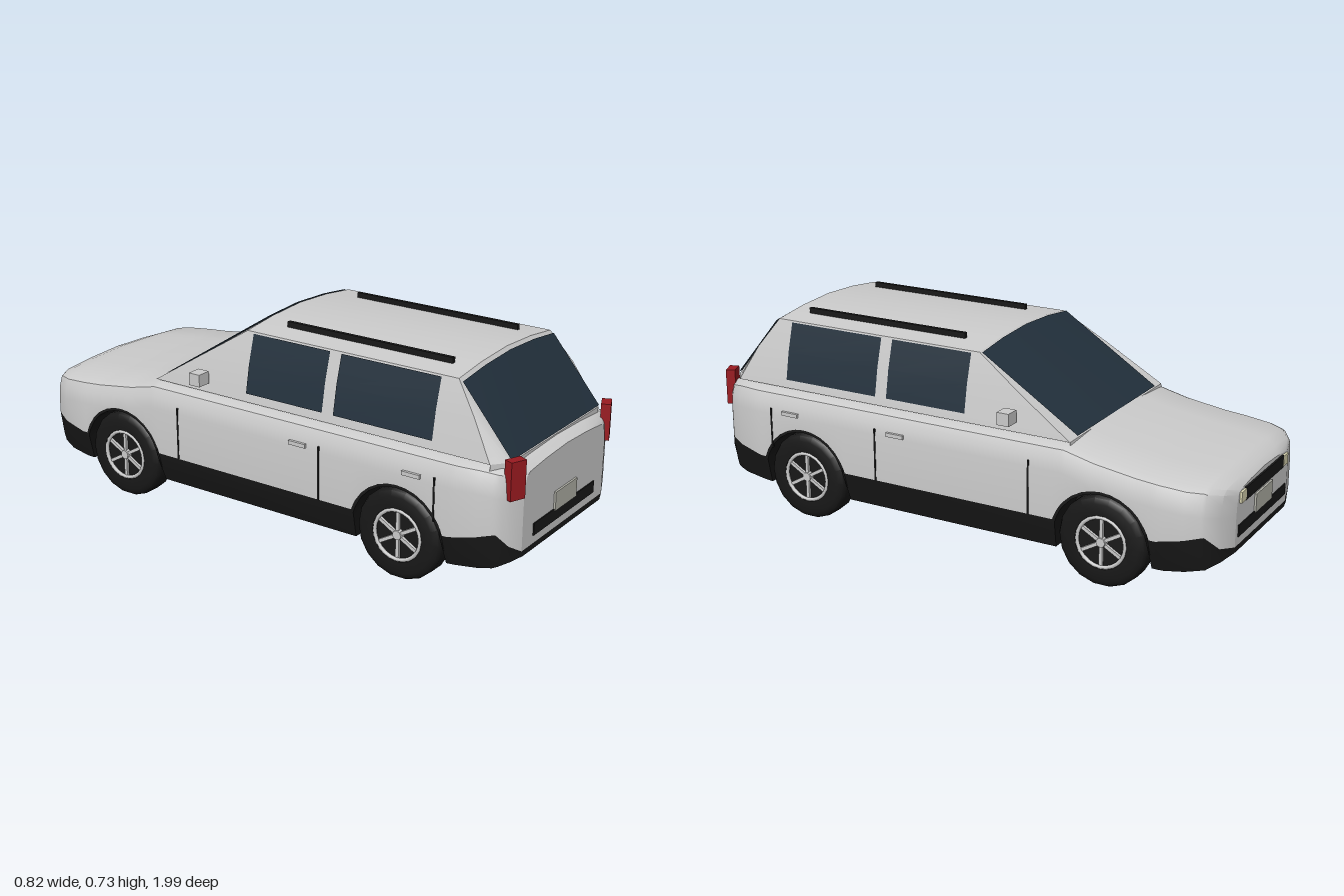
import * as THREE from 'three';
import { toCreasedNormals } from 'three/addons/utils/BufferGeometryUtils.js';

const mat = (color, side = THREE.FrontSide) => new THREE.MeshStandardMaterial({ color, side });
const grey = mat(0xcccccc);
const black = mat(0x181818);
const glass = mat(0x22303c, THREE.DoubleSide);
const red = mat(0x991a20);
const plateGrey = mat(0xb4b4aa);
const lampCream = mat(0xd8d4b0);

// Piecewise linear lookup in [[t, value], ...]
function at(t, table) {
  if (t <= table[0][0]) return table[0][1];
  for (let i = 1; i < table.length; i++) {
    const [t0, v0] = table[i - 1], [t1, v1] = table[i];
    if (t <= t1) return v0 + (v1 - v0) * (t - t0) / (t1 - t0);
  }
  return table[table.length - 1][1];
}

// Skin over rows of [x, y, z] points
function loft(rows, crease = 0.6) {
  const pos = [];
  for (let i = 0; i < rows.length - 1; i++) {
    for (let j = 0; j < rows[i].length - 1; j++) {
      const a = rows[i][j], b = rows[i][j + 1], c = rows[i + 1][j + 1], d = rows[i + 1][j];
      pos.push(...a, ...b, ...c, ...a, ...c, ...d);
    }
  }
  const g = new THREE.BufferGeometry();
  g.setAttribute('position', new THREE.Float32BufferAttribute(pos, 3));
  g.computeVertexNormals();
  return toCreasedNormals(g, crease);
}

const mirror = (pts) => pts.map(([x, y, z]) => [-x, y, z]);

function add(parent, name, geometry, material, x = 0, y = 0, z = 0) {
  const m = new THREE.Mesh(geometry, material);
  m.name = name;
  m.position.set(x, y, z);
  parent.add(m);
  return m;
}
const box = (parent, name, material, size, p) => add(parent, name, new THREE.BoxGeometry(...size), material, ...p);

const AXLES = [-0.585, 0.59], HUB_Y = 0.16;

// Body outline along z: half width, top line, trim line, underside
const WIDTH = [[-0.985, 0.23], [-0.965, 0.31], [-0.93, 0.36], [-0.87, 0.39], [-0.78, 0.4],
  [0.8, 0.4], [0.88, 0.39], [0.935, 0.365], [0.965, 0.33], [0.985, 0.28]];
const TOP = [[-0.985, 0.375], [-0.965, 0.395], [-0.92, 0.41], [-0.7, 0.43], [-0.55, 0.452],
  [-0.44, 0.478], [0.88, 0.478], [0.95, 0.465], [0.985, 0.448]];
const TRIM = [[-0.985, 0.17], [-0.965, 0.19], [-0.93, 0.24], [-0.78, 0.21],
  [0.78, 0.21], [0.935, 0.245], [0.965, 0.2], [0.985, 0.17]];
const FLOOR = [[-0.985, 0.15], [-0.93, 0.12], [-0.8, 0.1], [0.75, 0.1], [0.92, 0.12], [0.985, 0.15]];

function arch(z, r) {
  return Math.max(0, ...AXLES.map((a) => (Math.abs(z - a) < r ? HUB_Y + Math.sqrt(r * r - (z - a) ** 2) : 0)));
}

function paintHalf(z) {
  const w = at(z, WIDTH), t = at(z, TOP), trim = Math.max(at(z, TRIM), arch(z, 0.18));
  return [[0, t], [0.5 * w, t - 0.006], [0.88 * w, t - 0.016], [0.95 * w, t - 0.028],
    [0.985 * w, t - 0.06], [w, t - 0.1], [w, trim]].map(([x, y]) => [x, y, z]);
}

function claddingHalf(z) {
  const w = at(z, WIDTH), floor = at(z, FLOOR), edge = Math.max(floor, arch(z, 0.17));
  const side = (y) => w * (1 - Math.max(0, 0.2 - y) * 0.8);
  const mid = Math.max(0.15, edge), inner = Math.min(0.28, 0.7 * w);
  return [[w, Math.max(at(z, TRIM), arch(z, 0.18))], [side(mid), mid], [side(edge), edge],
    [inner, edge], [inner, floor], [0, floor]].map(([x, y]) => [x, y, z]);
}

function buildBody(car) {
  const zs = [...WIDTH, ...TOP, ...TRIM, ...FLOOR].map((p) => p[0]);
  for (const a of AXLES) {
    for (const d of [0, 0.035, 0.07, 0.105, 0.135, 0.158, 0.165, 0.174]) zs.push(a - d, a + d);
  }
  const stations = [...new Set(zs)].sort((p, q) => p - q);
  const front = stations[0], rear = stations[stations.length - 1];
  const parts = [['bodyShell', paintHalf, grey], ['lowerCladding', claddingHalf, black]];
  for (const [name, half, material] of parts) {
    add(car, name, loft(stations.map((z) => {
      const h = half(z), m = mirror(h);
      return half === paintHalf ? [...h.reverse(), ...m.slice(1)] : [...m, ...h.reverse().slice(1)];
    })), material);
    const f = half(front), r = half(rear);
    add(car, name + 'FrontEnd', loft([f, mirror(f)]), material);
    add(car, name + 'RearEnd', loft([mirror(r), r]), material);
  }
}

// Cabin: profiles swept across x
const ROOF = [[0, 0.73], [0.16, 0.722], [0.3, 0.705], [0.33, 0.6], [0.355, 0.47]];
const CABIN_SIDE = [[0.47, 0.355], [0.6, 0.33], [0.705, 0.3]];

function cabinProfile(x) {
  const ax = Math.abs(x), h = at(ax, ROOF);
  const t = ax <= 0.3 ? 1 : (h - 0.47) / 0.235;
  const rear = 0.945 - Math.max(0, ax - 0.3) * 0.8;
  return [[x, 0.44, -0.455], [x, 0.47, -0.45], [x, h, -0.45 + 0.37 * t],
    [x, h, rear + (0.75 - rear) * t], [x, 0.47, rear], [x, 0.44, rear]];
}

function buildCabin(car) {
  const half = ROOF.map((p) => p[0]);
  const xs = [...half.slice(1).reverse().map((x) => -x), ...half];
  add(car, 'cabin', loft(xs.map(cabinProfile), 0.35), grey);

  // Windscreen and rear window lie just proud of the cabin
  const inner = xs.filter((x) => Math.abs(x) <= 0.3);
  const pane = (lo, hi, dz, top) => loft(inner.map((x) => {
    const p = cabinProfile(x), a = new THREE.Vector3(...p[lo]), b = new THREE.Vector3(...p[hi]);
    return [0.01, top].map((t) => a.clone().lerp(b, t).add(new THREE.Vector3(0, 0.004, dz)).toArray());
  }));
  add(car, 'windscreen', pane(1, 2, -0.004, 0.985), glass);
  add(car, 'rearWindow', pane(4, 3, 0.004, 0.95), glass);

  // Side windows
  for (const s of [-1, 1]) {
    for (const [name, z0, z1] of [['frontSideWindow', -0.05, 0.265], ['rearSideWindow', 0.31, 0.69]]) {
      const rows = [z0, z1].map((z) => [0.5, 0.6, 0.7].map((y) => [s * (at(y, CABIN_SIDE) + 0.004), y, z]));
      add(car, name, loft(s > 0 ? rows.reverse() : rows), glass);
    }
    box(car, 'roofRail', black, [0.014, 0.022, 0.65], [s * 0.21, 0.724, 0.352]);
  }
}

function buildWheel(car, side, z) {
  const wheel = new THREE.Group();
  wheel.name = 'wheel';
  wheel.position.set(side * 0.342, HUB_Y, z);
  wheel.rotation.z = -side * Math.PI / 2; // local +y points outward
  const profile = [[0, -0.05], [0.135, -0.051], [0.153, -0.042], [0.16, -0.03], [0.16, 0.03],
    [0.153, 0.042], [0.135, 0.051], [0.094, 0.049], [0.088, 0.035], [0, 0.035]];
  const tyre = new THREE.LatheGeometry(profile.map((p) => new THREE.Vector2(...p)), 18);
  add(wheel, 'tyre', toCreasedNormals(tyre, 0.6), black);
  const rim = add(wheel, 'rim', new THREE.TorusGeometry(0.087, 0.007, 6, 24), grey, 0, 0.046, 0);
  rim.rotation.x = Math.PI / 2;
  add(wheel, 'hub', new THREE.CylinderGeometry(0.016, 0.02, 0.016, 12), grey, 0, 0.043, 0);
  for (let i = 0; i < 6; i++) {
    const a = i * Math.PI / 3;
    const spoke = box(wheel, 'spoke', grey, [0.075, 0.01, 0.012], [Math.cos(a) * 0.05, 0.042, Math.sin(a) * 0.05]);
    spoke.rotation.y = -a;
  }
  car.add(wheel);
}

function buildDetails(car) {
  for (const s of [-1, 1]) {
    box(car, 'mirror', grey, [0.052, 0.044, 0.045], [s * 0.384, 0.527, -0.23]);
    box(car, 'mirrorArm', grey, [0.05, 0.012, 0.02], [s * 0.36, 0.508, -0.23]);
    for (const z of [0.2, 0.645]) box(car, 'doorHandle', grey, [0.014, 0.014, 0.068], [s * 0.4, 0.39, z]);
    for (const [z, y0] of [[-0.32, 0.21], [0.285, 0.21], [0.73, 0.25]]) {
      box(car, 'doorGap', black, [0.008, 0.4 - y0, 0.006], [s * 0.398, (0.4 + y0) / 2, z]);
    }
    const lamp = box(car, 'tailLight', red, [0.058, 0.13, 0.034], [s * 0.313, 0.425, 0.968]);
    lamp.rotation.y = s * 0.4;
    box(car, 'headlight', lampCream, [0.04, 0.038, 0.03], [s * 0.188, 0.335, -0.978]);
  }
  // Front end
  box(car, 'grille', black, [0.336, 0.045, 0.03], [0, 0.335, -0.977]);
  box(car, 'frontPlate', plateGrey, [0.146, 0.065, 0.02], [0, 0.268, -0.982]);
  box(car, 'frontIntake', black, [0.42, 0.04, 0.02], [0, 0.22, -0.979]);
  // Rear end
  box(car, 'rearPlate', plateGrey, [0.148, 0.066, 0.02], [0, 0.268, 0.982]);
  box(car, 'rearBumperStrip', black, [0.42, 0.042, 0.02], [0, 0.22, 0.979]);
}

export function createModel() {
  const car = new THREE.Group();
  car.name = 'car';
  buildBody(car);
  buildCabin(car);
  for (const z of AXLES) for (const s of [-1, 1]) buildWheel(car, s, z);
  buildDetails(car);
  return car;
}
